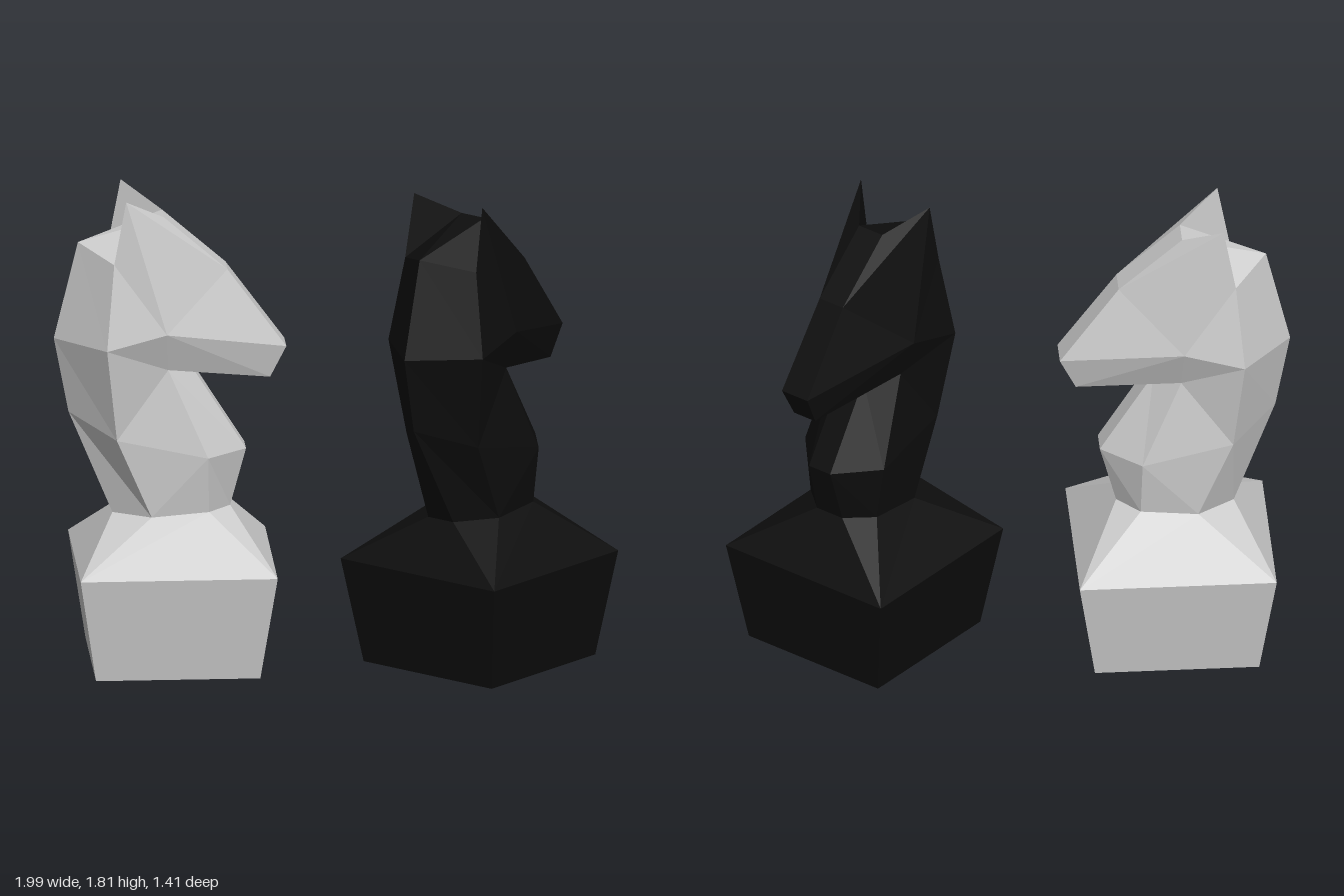
import * as THREE from 'three';

// Left half of one chess knight facing +z: [side, height, forward]
const P = {
  plinthBack: [0.368, 0.4, -0.368], plinthFront: [0.368, 0.4, 0.368],
  footBack: [0.06, 0.585, -0.23], footRear: [0.166, 0.59, -0.09],
  footFore: [0.157, 0.605, 0.125], footFront: [0.06, 0.605, 0.21],
  nape: [0, 0.96, -0.39], shoulder: [0.172, 0.89, -0.22],
  chestSide: [0.187, 0.82, 0.12], chest: [0.05, 0.82, 0.27],
  throat: [0.05, 1.135, 0.07], jaw: [0.15, 1.155, -0.027],
  mane: [0, 1.245, -0.445], neckSide: [0.226, 1.25, -0.26],
  poll: [0, 1.615, -0.355], temple: [0.17, 1.57, -0.23],
  earTip: [0.163, 1.81, -0.185], brow: [0.055, 1.72, -0.037],
  bridge: [0.055, 1.515, 0.2], nose: [0.06, 1.215, 0.42],
  chin: [0.05, 1.095, 0.36], cheek: [0.207, 1.305, -0.035],
};

// Each part: facets of the left flank, and strips that cross the midline
const PARTS = {
  plinthShoulder: {
    flank: ['plinthBack footBack footRear', 'plinthFront plinthBack footRear footFore',
      'plinthFront footFore footFront'],
    midline: ['plinthBack footBack', 'footFront plinthFront'],
  },
  neck: {
    flank: ['footBack nape shoulder footRear', 'footRear shoulder chestSide',
      'footRear chestSide footFore', 'footFore chestSide chest footFront',
      'nape mane neckSide shoulder', 'shoulder neckSide jaw',
      'shoulder jaw chestSide', 'chestSide jaw throat chest'],
    midline: ['footBack nape', 'throat chest footFront'],
  },
  head: {
    flank: ['mane poll temple neckSide', 'neckSide temple cheek', 'neckSide cheek jaw',
      'poll brow temple', 'cheek bridge nose', 'cheek nose chin',
      'cheek chin jaw', 'jaw chin throat'],
    midline: ['poll brow bridge nose chin throat'],
  },
  ears: {
    flank: ['temple earTip cheek', 'temple brow earTip', 'earTip brow bridge',
      'earTip bridge cheek'],
    midline: [],
  },
};

const mirror = ([x, y, z]) => [-x, y, z];

function facetGeometry({ flank, midline }) {
  const pos = [];
  const polygon = (pts) => {
    for (let i = 1; i < pts.length - 1; i++) pos.push(...pts[0], ...pts[i], ...pts[i + 1]);
  };
  // both flanks
  for (const facet of flank) {
    const pts = facet.split(' ').map((n) => P[n]);
    polygon(pts);
    polygon(pts.map(mirror).reverse());
  }
  // bands joining left to right
  for (const strip of midline) {
    const pts = strip.split(' ').map((n) => P[n]);
    for (let i = 0; i < pts.length - 1; i++) {
      const a = pts[i], b = pts[i + 1];
      const band = [a, mirror(a), mirror(b), b];
      if (a[0] === 0) band.splice(1, 1);
      else if (b[0] === 0) band.pop();
      polygon(band);
    }
  }
  const geo = new THREE.BufferGeometry();
  geo.setAttribute('position', new THREE.Float32BufferAttribute(pos, 3));
  geo.computeVertexNormals();
  return geo;
}

function knight(name, color) {
  const group = new THREE.Group();
  group.name = name;
  const material = new THREE.MeshStandardMaterial({ color, flatShading: true });
  const add = (part, geo) => {
    const mesh = new THREE.Mesh(geo, material);
    mesh.name = part;
    group.add(mesh);
  };
  // square plinth, tapering to the floor
  const plinth = new THREE.CylinderGeometry(0.368 * Math.SQRT2, 0.307 * Math.SQRT2, 0.4, 4);
  plinth.rotateY(Math.PI / 4).translate(0, 0.2, 0);
  add('plinth', plinth);
  for (const [part, spec] of Object.entries(PARTS)) add(part, facetGeometry(spec));
  return group;
}

export function createModel() {
  const model = new THREE.Group();
  model.name = 'chessKnights';

  const light = knight('lightKnight', 0xcccccc);
  light.position.set(-0.5, 0, 0.205);
  light.rotation.y = 2.052;

  const dark = knight('darkKnight', 0x0d0d0d);
  dark.position.set(0.545, 0, -0.257);
  dark.rotation.y = 2.88;

  model.add(light, dark);
  return model;
}
